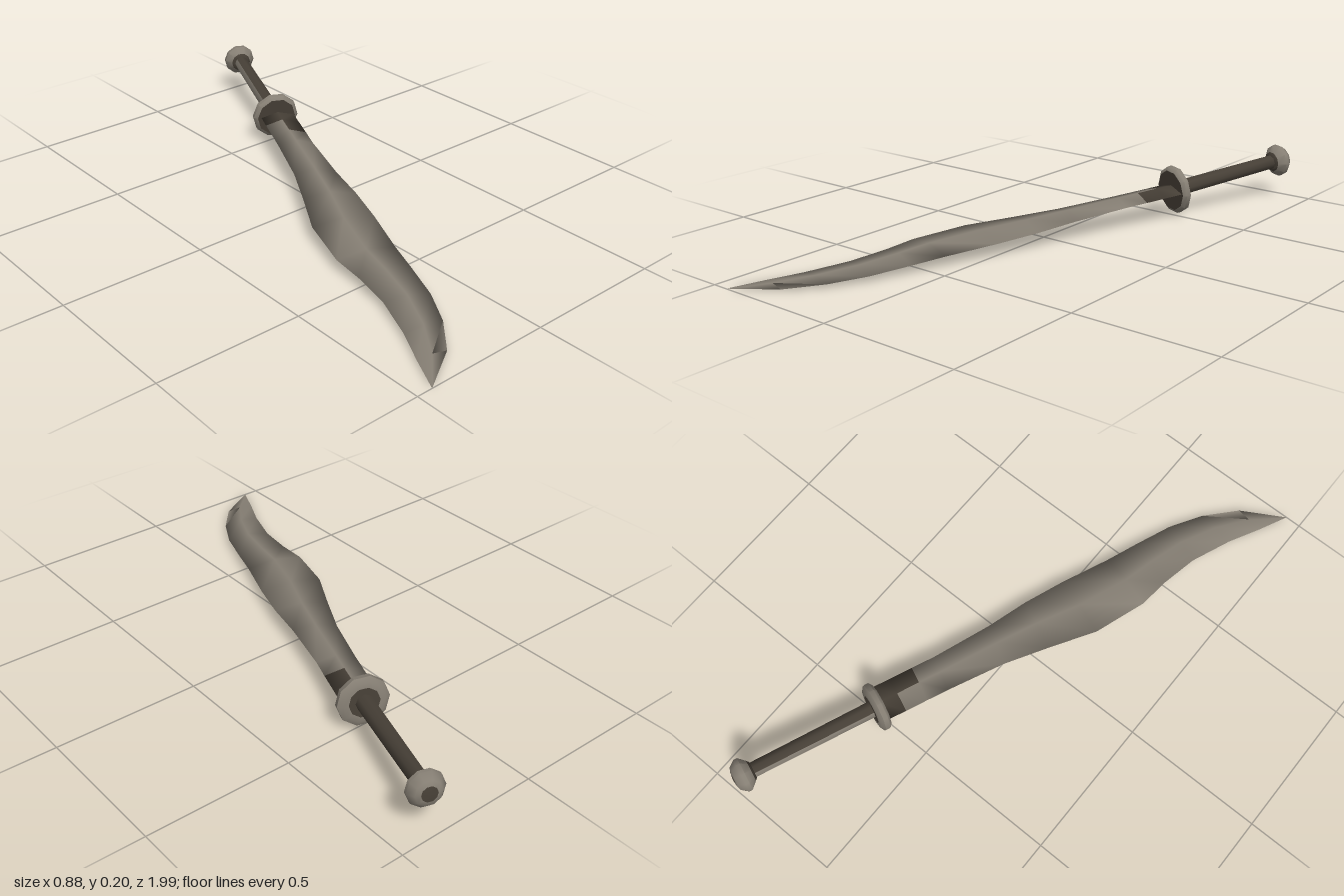
import * as THREE from 'three';
import { toCreasedNormals } from 'three/addons/utils/BufferGeometryUtils.js';

function material(name, color) {
  const m = new THREE.MeshStandardMaterial({ color });
  m.name = name;
  return m;
}
const steel = material('weathered steel', 0x867f74);
const dark = material('dark brown', 0x463f36);

// Turned part from [radius, height] pairs, listed from blade side to pommel side
function turned(name, mat, profile, sides, startDeg = 0, sweepDeg = 360) {
  const points = profile.map(([r, y]) => new THREE.Vector2(r, y));
  const rad = THREE.MathUtils.degToRad;
  const lathe = new THREE.LatheGeometry(points, sides, rad(startDeg), rad(sweepDeg));
  const mesh = new THREE.Mesh(toCreasedNormals(lathe, 0.9), mat);
  mesh.name = name;
  return mesh;
}

function assembly(name, ...parts) {
  const group = new THREE.Group();
  group.name = name;
  group.add(...parts);
  return group;
}

// Curved blade: diamond cross-sections between a left and a right edge
function blade() {
  // [left x, left z, right x, right z, half thickness]
  const stations = [
    [0.15, -0.51, 0.27, -0.465, 0.018],
    [0.124, -0.447, 0.243, -0.398, 0.018],
    [0.095, -0.374, 0.212, -0.319, 0.018],
    [0.065, -0.3, 0.18, -0.24, 0.018],
    [-0.02, -0.105, 0.11, -0.03, 0.018],
    [-0.1, 0.04, 0.07, 0.12, 0.018],
    [-0.19, 0.195, 0.02, 0.265, 0.017],
    [-0.25, 0.385, -0.05, 0.44, 0.016],
    [-0.26, 0.5, -0.09, 0.555, 0.015],
    [-0.285, 0.635, -0.14, 0.69, 0.013],
    [-0.34, 0.78, -0.205, 0.805, 0.01],
    [-0.395, 0.89, -0.295, 0.91, 0.006],
    [-0.445, 1, -0.445, 1, 0],
  ];
  const slope = (z) => (1 - z) * 0.0667;
  const positions = [];
  for (const [lx, lz, rx, rz, t] of stations) {
    const mx = (lx + rx) / 2;
    const mz = (lz + rz) / 2;
    positions.push(lx, slope(lz), lz, mx, slope(mz) + t, mz);
    positions.push(rx, slope(rz), rz, mx, slope(mz) - t, mz);
  }
  // Dark root: all round beside the guard, reaching further along one edge
  const steelFaces = [];
  const darkFaces = [];
  for (let i = 0; i < stations.length - 1; i++) {
    for (let j = 0; j < 4; j++) {
      const a = i * 4 + j;
      const b = i * 4 + ((j + 1) % 4);
      const isRoot = i === 0 || (i === 1 && (j === 1 || j === 2));
      const faces = isRoot ? darkFaces : steelFaces;
      faces.push(a, a + 4, b);
      if (i < stations.length - 2) faces.push(b, a + 4, b + 4);
    }
  }
  const geometry = new THREE.BufferGeometry();
  geometry.setAttribute('position', new THREE.Float32BufferAttribute(positions, 3));
  geometry.setIndex([...steelFaces, ...darkFaces]);
  geometry.addGroup(0, steelFaces.length, 0);
  geometry.addGroup(steelFaces.length, darkFaces.length, 1);
  geometry.computeVertexNormals();
  const mesh = new THREE.Mesh(geometry, [steel, dark]);
  mesh.name = 'blade';
  return mesh;
}

export function createModel() {
  // Guard: light rounded rim with dark faces
  const guard = assembly('guard',
    turned('guardFront', dark, [[0, -0.018], [0.074, -0.018]], 10),
    turned('guardRim', steel, [
      [0.074, -0.018], [0.087, -0.008], [0.087, 0.008], [0.07, 0.018], [0.052, 0.019],
    ], 10),
    turned('guardBack', dark, [[0.052, 0.019], [0, 0.019]], 10));

  // Grip: dark wrap round one side and the top, light on the remainder
  const gripProfile = [[0.03, 0], [0.027, 0.47]];
  const grip = assembly('grip',
    turned('gripWrap', dark, gripProfile, 5, -66, 225),
    turned('gripCore', steel, gripProfile, 3, 159, 135));

  // Pommel: light knob with a dark collar and end cap
  const pommel = assembly('pommel',
    turned('pommelCollar', dark, [[0, -0.035], [0.03, -0.035], [0.038, -0.028]], 10),
    turned('pommelKnob', steel, [
      [0.038, -0.028], [0.06, -0.006], [0.06, 0.006], [0.042, 0.028], [0.026, 0.033],
    ], 10),
    turned('pommelCap', dark, [[0.026, 0.033], [0, 0.036]], 10));
  pommel.position.y = 0.487;

  // Hilt, built along its own y axis and leaned back from the guard
  const hilt = assembly('hilt', guard, grip, pommel);
  hilt.position.set(0.21, 0.098, -0.5);
  const axis = new THREE.Vector3(0.172, 0.045, -0.455).normalize();
  hilt.quaternion.setFromUnitVectors(new THREE.Vector3(0, 1, 0), axis);

  return assembly('sword', blade(), hilt);
}
